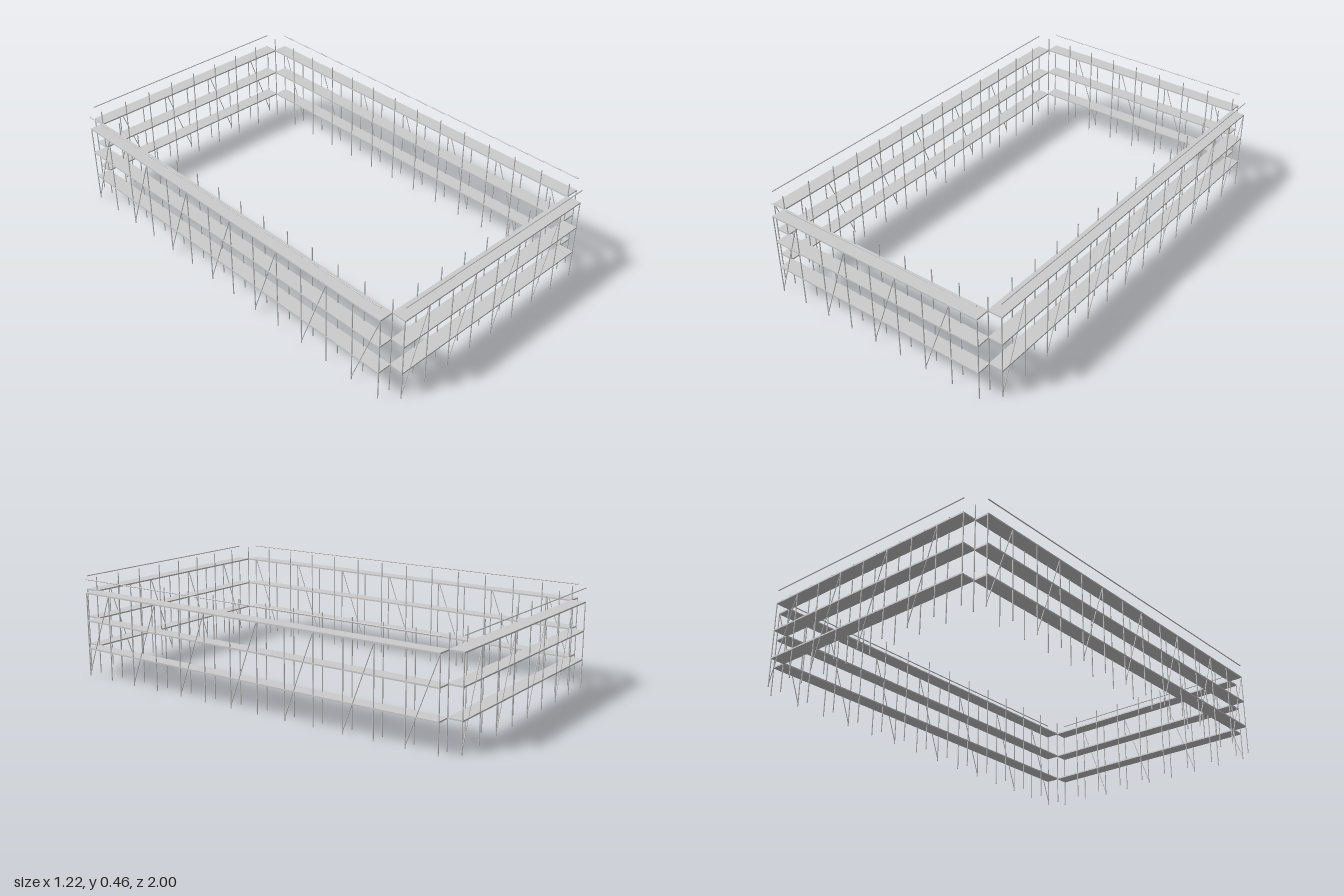
import * as THREE from 'three';

const HALF_X = 0.543, HALF_Z = 0.934;   // inner corner posts
const DEPTH = 0.0635;                   // inner to outer post row
const LEVELS = [0.131, 0.262, 0.392];   // deck heights
const RAIL_Y = 0.456;
const R = 0.0025;                       // tube radius

const material = new THREE.MeshStandardMaterial({ color: 0xcccccc });

// Straight tube between two points
function tube(name, a, b, r = R) {
  const dir = new THREE.Vector3().subVectors(b, a);
  const mesh = new THREE.Mesh(new THREE.CylinderGeometry(r, r, dir.length(), 8), material);
  mesh.name = name;
  mesh.position.copy(a).add(b).multiplyScalar(0.5);
  mesh.quaternion.setFromUnitVectors(new THREE.Vector3(0, 1, 0), dir.normalize());
  return mesh;
}

// One scaffold run along x, with its outer face towards +z
function scaffoldRun(name, half, inner, bays) {
  const run = new THREE.Group();
  run.name = name;
  const outer = inner + DEPTH;
  const step = (2 * half) / bays;
  const v = (x, y, z) => new THREE.Vector3(x, y, z);

  for (let i = 0; i <= bays; i++) {
    const x = -half + i * step;
    // tall inner post, shorter outer post
    run.add(tube('innerPost', v(x, 0, inner), v(x, RAIL_Y + R, inner)));
    run.add(tube('outerPost', v(x, 0, outer), v(x, LEVELS[2], outer)));
    // diagonal in every second bay of the outer face
    if (i % 2 === 0 && i < bays) {
      run.add(tube('brace', v(x, 0.013, outer), v(x + step, LEVELS[2], outer), 0.002));
    }
  }

  // walkways
  for (const y of LEVELS) {
    const deck = new THREE.Mesh(new THREE.BoxGeometry(2 * half, 0.0065, DEPTH + 2 * R), material);
    deck.name = 'deck';
    deck.position.set(0, y, (inner + outer) / 2);
    run.add(deck);
  }

  // guard rail above the outer edge
  run.add(tube('guardRail', v(-half, RAIL_Y, outer), v(half, RAIL_Y, outer)));
  return run;
}

export function createModel() {
  const model = new THREE.Group();
  model.name = 'scaffolding';
  const names = ['frontRun', 'leftRun', 'backRun', 'rightRun'];
  names.forEach((name, i) => {
    const run = i % 2 === 0
      ? scaffoldRun(name, HALF_X, HALF_Z, 8)
      : scaffoldRun(name, HALF_Z, HALF_X, 13);
    run.rotation.y = i * Math.PI / 2;
    model.add(run);
  });
  return model;
}
